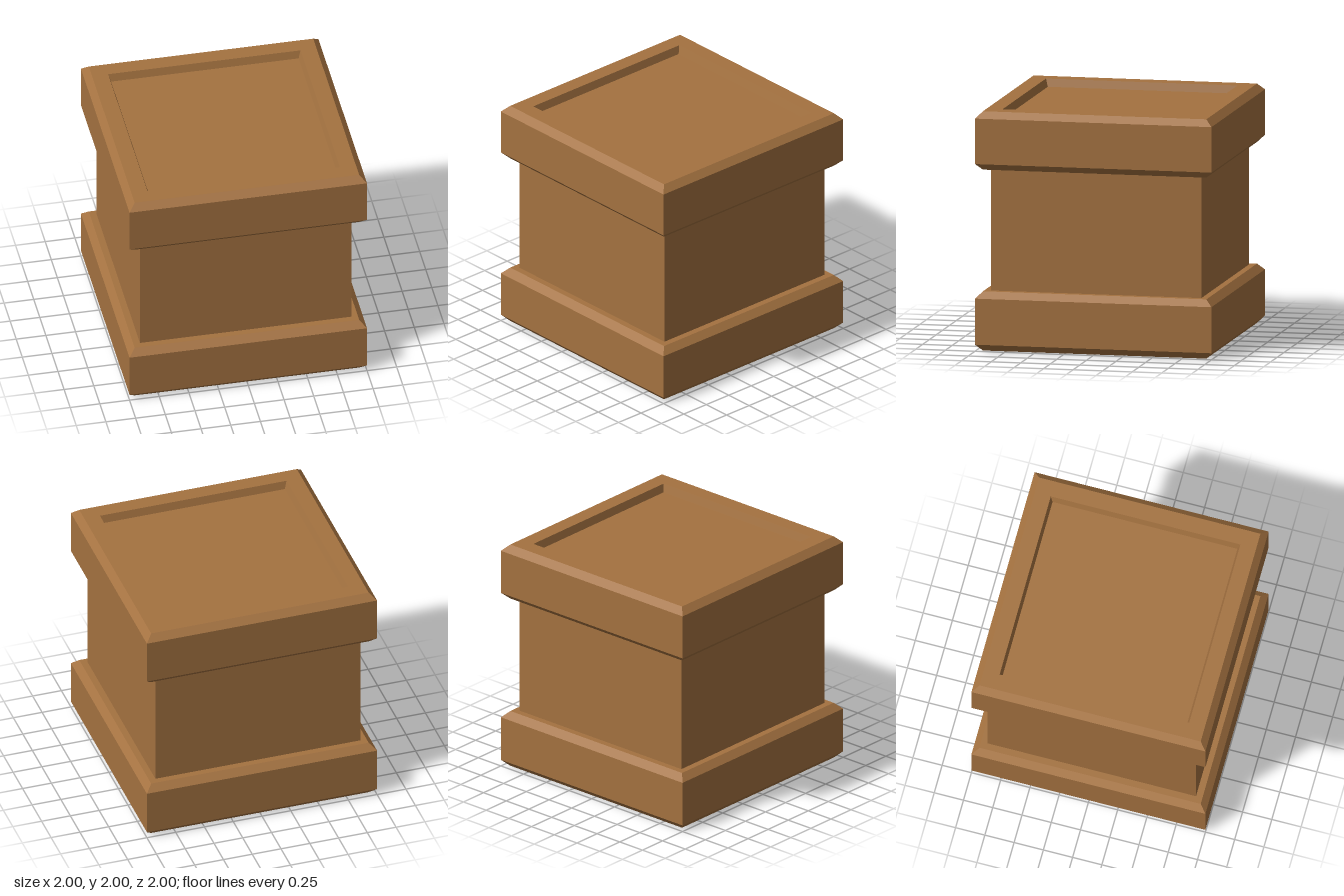
import * as THREE from 'three';

// Square ring swept up a profile of [halfWidth, y] points, flat shaded
function squareSweep(profile) {
  const points = profile.map(([r, y]) => new THREE.Vector2(r * Math.SQRT2, y));
  const geometry = new THREE.LatheGeometry(points, 4, Math.PI / 4).toNonIndexed();
  geometry.computeVertexNormals();
  return geometry;
}

export function createModel() {
  const group = new THREE.Group();
  const wood = new THREE.MeshStandardMaterial({ color: 0xa47240, side: THREE.DoubleSide });
  wood.name = 'brownWood';

  const add = (name, geometry) => {
    const mesh = new THREE.Mesh(geometry, wood);
    mesh.name = name;
    group.add(mesh);
    return mesh;
  };

  // Hollow base band, open underneath, with bevelled edges
  add('baseBand', squareSweep([[0.945, 0], [1, 0.055], [1, 0.44], [0.945, 0.495], [0.89, 0.495]]));

  // Straight hollow body
  add('body', squareSweep([[0.89, 0.495], [0.89, 1.505]]));

  // Top band with rim and the sloping wall of the recess
  add('topBand', squareSweep([
    [0.89, 1.505], [0.945, 1.512], [1, 1.565], [1, 1.945], [0.945, 2], [0.81, 2], [0.79, 1.935],
  ]));

  // Sunken top panel
  const panel = add('topPanel', new THREE.PlaneGeometry(1.58, 1.58).rotateX(-Math.PI / 2));
  panel.position.y = 1.935;

  return group;
}
